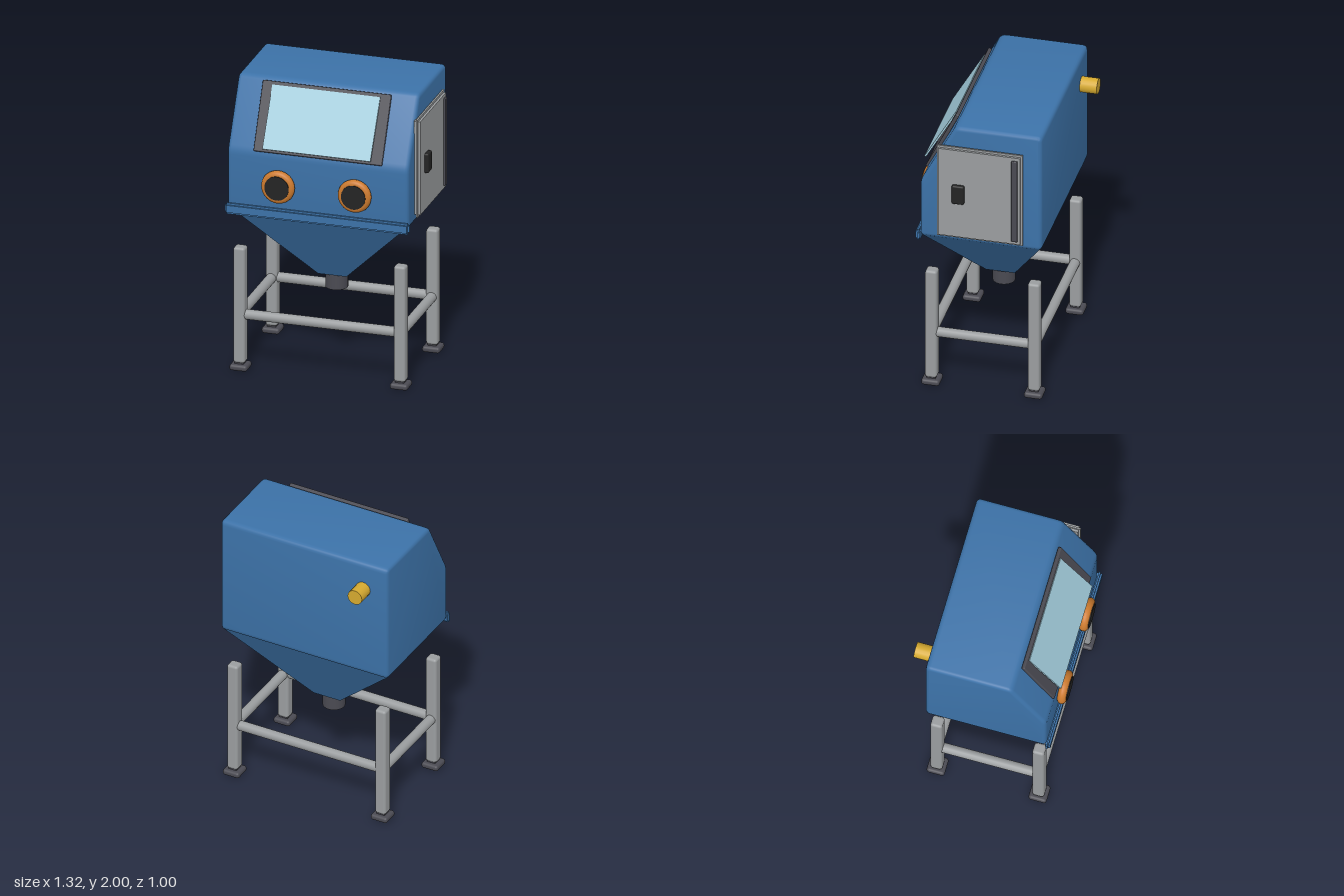
import * as THREE from 'three';
import { toCreasedNormals } from 'three/addons/utils/BufferGeometryUtils.js';
import { RoundedBoxGeometry } from 'three/addons/geometries/RoundedBoxGeometry.js';

const material = (name, color) => {
  const m = new THREE.MeshStandardMaterial({ color });
  m.name = name;
  return m;
};

// Closed outline with every corner softened by radius r
function softShape(points, r) {
  const shape = new THREE.Shape();
  const pts = points.map(([x, y]) => new THREE.Vector2(x, y));
  pts.forEach((p, i) => {
    const prev = pts[(i + pts.length - 1) % pts.length];
    const next = pts[(i + 1) % pts.length];
    const a = p.clone().add(prev.clone().sub(p).setLength(r));
    const b = p.clone().add(next.clone().sub(p).setLength(r));
    if (i === 0) shape.moveTo(a.x, a.y);
    else shape.lineTo(a.x, a.y);
    shape.quadraticCurveTo(p.x, p.y, b.x, b.y);
  });
  shape.closePath();
  return shape;
}

export function createModel() {
  const model = new THREE.Group();
  model.name = 'blastCabinet';

  const blue = material('cabinet blue', 0x3c72a8);
  const steel = material('steel grey', 0x9a9d9f);
  const dark = material('dark grey', 0x4a4a52);
  const black = material('rubber black', 0x242424);
  const orange = material('ring orange', 0xcc7a2e);
  const yellow = material('port yellow', 0xd6aa30);
  const glass = material('window glass', 0xa2ccdc);

  const add = (name, geometry, mat, x, y, z, parent = model) => {
    const mesh = new THREE.Mesh(geometry, mat);
    mesh.name = name;
    mesh.position.set(x, y, z);
    parent.add(mesh);
    return mesh;
  };
  const group = (name) => {
    const g = new THREE.Group();
    g.name = name;
    model.add(g);
    return g;
  };
  const box = (w, h, d) => new THREE.BoxGeometry(w, h, d);
  const soft = (w, h, d, r) => new RoundedBoxGeometry(w, h, d, 3, r);
  const CX = -0.03; // middle of the cabinet and stand
  const CZ = 0.025;

  // Cabinet body: side profile (z, y) extruded across the width
  const bevel = 0.025;
  const profile = softShape(
    [[-0.385, 1.14], [0.435, 1.14], [0.435, 1.555], [0.197, 2.0], [-0.385, 2.0]], 0.035);
  const body = new THREE.ExtrudeGeometry(profile, {
    depth: 1.24 - 2 * bevel, bevelEnabled: true, bevelThickness: bevel,
    bevelSize: bevel, bevelOffset: -bevel, bevelSegments: 3, curveSegments: 4,
  });
  body.rotateY(-Math.PI / 2);
  add('cabinetBody', toCreasedNormals(body, 0.7), blue, 0.59 - bevel, 0, 0);

  // Hopper: a box narrowed at its lower end
  const hopper = box(1.22, 0.52, 0.79);
  const pos = hopper.attributes.position;
  for (let i = 0; i < pos.count; i++) {
    if (pos.getY(i) < 0) {
      pos.setX(i, Math.sign(pos.getX(i)) * 0.097);
      pos.setZ(i, Math.sign(pos.getZ(i)) * 0.097);
    }
  }
  hopper.computeVertexNormals();
  add('hopper', hopper, blue, CX, 0.887, CZ);
  add('hopperOutlet', new THREE.CylinderGeometry(0.075, 0.075, 0.13, 24), dark, CX, 0.58, CZ);

  // Front lip: a bar with stepped edges
  const lip = group('frontLip');
  add('lipBar', box(1.24, 0.05, 0.036), blue, CX, 1.147, 0.447, lip);
  add('lipEndFlange', box(1.265, 0.044, 0.012), blue, CX, 1.147, 0.442, lip);
  add('lipEdgeFlange', box(1.24, 0.076, 0.012), blue, CX, 1.147, 0.447, lip);

  // Sloped window
  const frame = add('windowFrame', soft(0.88, 0.47, 0.026, 0.008), dark, CX, 1.774, 0.329);
  frame.rotation.x = THREE.MathUtils.degToRad(-26);
  const pane = add('windowPane', box(0.74, 0.43, 0.012), glass, CX, 1.782, 0.355);
  pane.rotation.x = THREE.MathUtils.degToRad(-30);

  // Glove ports
  for (const x of [-0.293, 0.232]) {
    const port = group('glovePort');
    port.position.set(x, 1.343, 0);
    add('gloveRing', new THREE.TorusGeometry(0.084, 0.03, 14, 36), orange, 0, 0, 0.463, port);
    const opening = new THREE.CylinderGeometry(0.083, 0.083, 0.08, 32);
    opening.rotateX(Math.PI / 2);
    add('gloveOpening', opening, black, 0, 0, 0.458, port);
  }

  // Side door with stepped edge, hinge strip and latch
  const door = group('sideDoor');
  add('doorPanel', box(0.045, 0.655, 0.55), steel, 0.608, 1.522, 0.025, door);
  add('doorRim', box(0.012, 0.685, 0.575), steel, 0.609, 1.522, 0.025, door);
  add('doorHinge', soft(0.022, 0.61, 0.042, 0.006), dark, 0.634, 1.522, -0.213, door);
  add('doorLatch', soft(0.036, 0.138, 0.083, 0.012), black, 0.638, 1.522, 0.166, door);

  // Rear exhaust port
  const exhaust = new THREE.CylinderGeometry(0.053, 0.053, 0.13, 20);
  exhaust.rotateX(Math.PI / 2);
  add('exhaustPort', exhaust, yellow, -0.47, 1.8, -0.435);

  // Stand: four legs with feet, joined by four rails
  const stand = group('stand');
  const halfX = 0.55;
  const halfZ = 0.346;
  for (const sx of [-1, 1]) {
    for (const sz of [-1, 1]) {
      const x = CX + sx * halfX;
      const z = CZ + sz * halfZ;
      add('leg', soft(0.08, 0.81, 0.08, 0.018), steel, x, 0.455, z, stand);
      add('footNeck', box(0.06, 0.03, 0.06), dark, x, 0.046, z, stand);
      add('foot', soft(0.122, 0.042, 0.122, 0.018), dark, x, 0.021, z, stand);
    }
  }
  for (const s of [-1, 1]) {
    const long = new THREE.CylinderGeometry(0.034, 0.034, 2 * halfX - 0.04, 16);
    long.rotateZ(Math.PI / 2);
    add('longRail', long, steel, CX, 0.386, CZ + s * halfZ, stand);
    const cross = new THREE.CylinderGeometry(0.034, 0.034, 2 * halfZ - 0.04, 16);
    cross.rotateX(Math.PI / 2);
    add('crossRail', cross, steel, CX + s * halfX, 0.386, CZ, stand);
  }

  return model;
}
